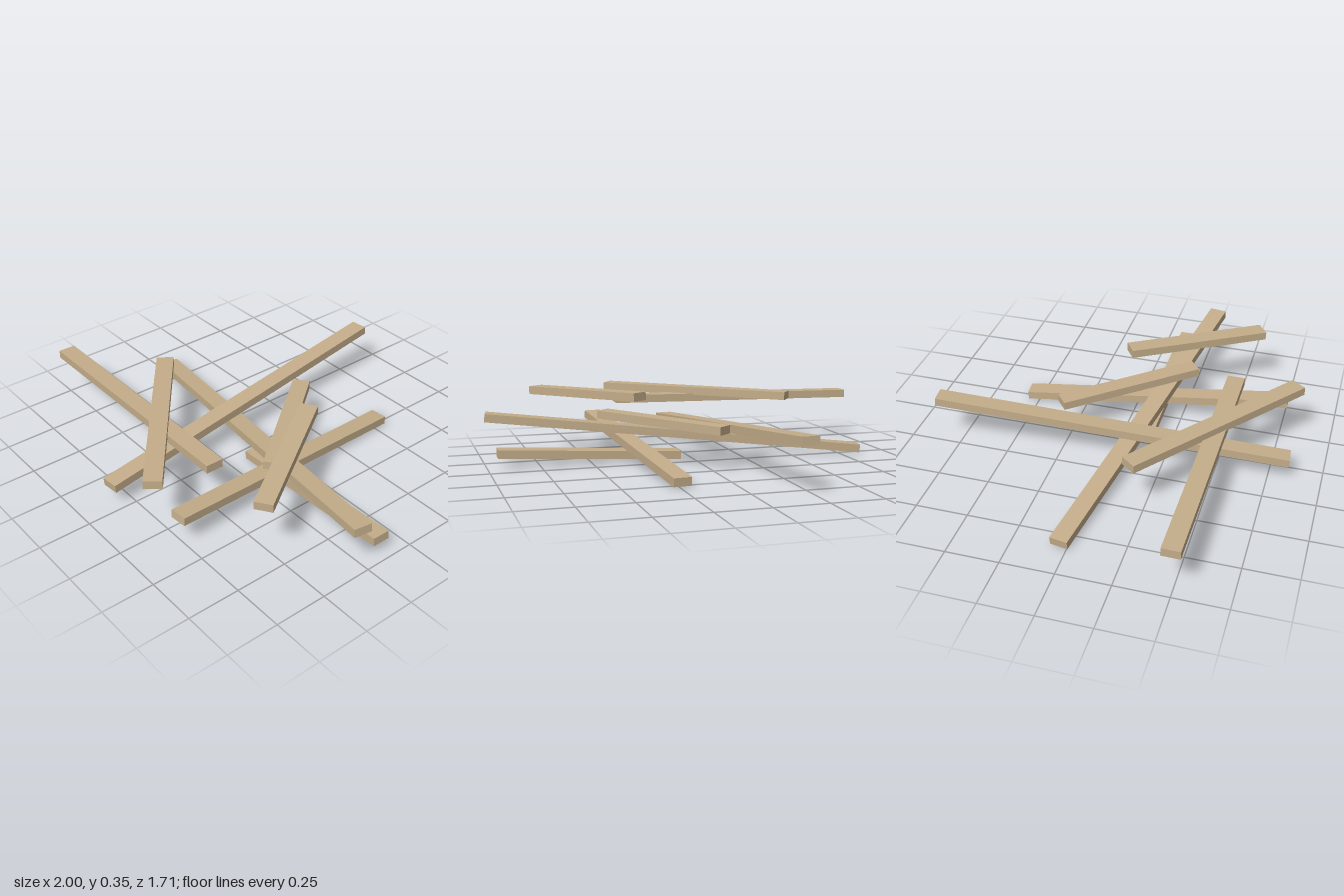
import * as THREE from 'three';

const WIDTH = 0.085;
const THICKNESS = 0.04;

// End centres of each plank: [x, y, z] to [x, y, z]
const PLANKS = [
  ['longBackPlank', [-0.225, 0.235, -0.855], [-0.065, 0.1, 0.843]],
  ['longCrossPlank', [-0.845, 0.03, -0.035], [0.987, 0.225, 0.282]],
  ['leaningPlank', [0.242, 0.029, -0.557], [0.358, 0.143, 0.765]],
  ['groundPlank', [0.06, 0.021, 0.115], [0.95, 0.073, 0.129]],
  ['frontLeftPlank', [-1.0, 0.239, 0.495], [0.29, 0.257, 0.512]],
  ['frontDiagonalPlank', [-0.545, 0.28, 0.19], [0.262, 0.289, 0.82]],
  ['middlePlank', [-0.045, 0.197, -0.285], [0.408, 0.215, 0.282]],
  ['topPlank', [0.295, 0.335, -0.032], [0.695, 0.313, 0.57]],
];

export function createModel() {
  const group = new THREE.Group();
  group.name = 'plankPile';
  const wood = new THREE.MeshStandardMaterial({ color: 0xc4ad8a });
  wood.name = 'paleWood';

  for (const [name, from, to] of PLANKS) {
    const a = new THREE.Vector3(...from);
    const b = new THREE.Vector3(...to);
    const plank = new THREE.Mesh(new THREE.BoxGeometry(WIDTH, THICKNESS, a.distanceTo(b)), wood);
    plank.name = name;
    // Lay the plank's length along the line between its ends, without roll
    plank.position.copy(a).lerp(b, 0.5);
    plank.lookAt(b);
    group.add(plank);
  }
  return group;
}
